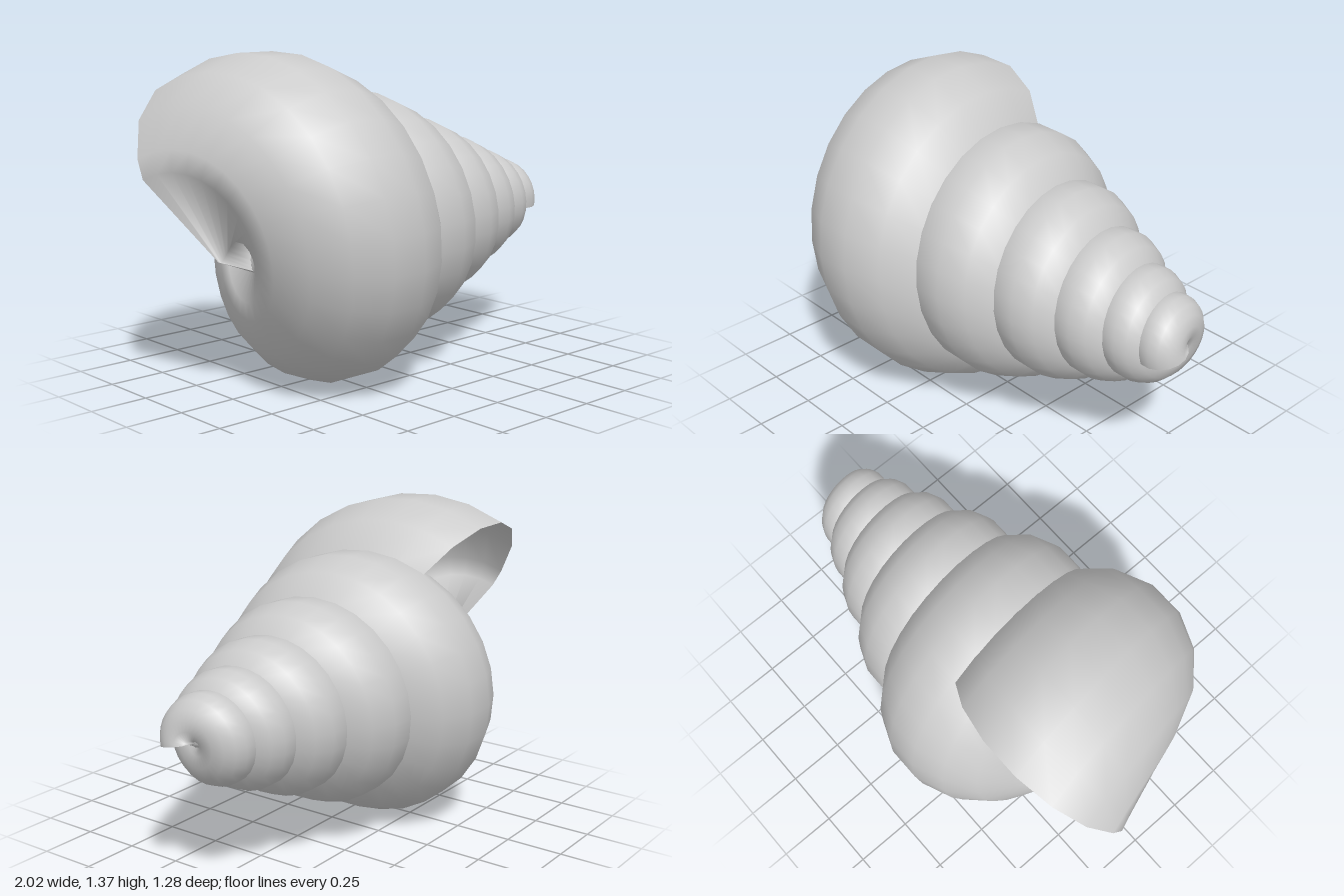
import * as THREE from 'three';

// Spiral shell: one cross-section swept along a shrinking spiral around the x axis
export function createModel() {
  const group = new THREE.Group();
  group.name = 'spiralShell';

  const axisY = 0.642, axisZ = -0.045;   // coiling axis
  const shrink = 0.757;                  // size ratio per turn
  const start = -32, sweep = 1935;       // degrees, from mouth to tip
  const steps = 150;

  // Cross-section: 16-sided circle with a straight chord across the base
  const angles = [180];
  for (let a = 236.25; a < 540; a += 22.5) angles.push(a);
  const profile = angles.map((a) => {
    const t = THREE.MathUtils.degToRad(a);
    return [0.45 * Math.cos(t), 0.294 + 0.45 * Math.sin(t)];
  });

  // Whorl rings from the mouth to the tip
  const n = profile.length, positions = [], index = [];
  for (let i = 0; i <= steps; i++) {
    const deg = start + (sweep * i) / steps;
    const s = Math.pow(shrink, deg / 360);
    const t = THREE.MathUtils.degToRad(deg);
    for (const [px, pr] of profile) {
      positions.push(
        1.325 - 1.83 * s + px * s,
        axisY + pr * s * Math.cos(t),
        axisZ + pr * s * Math.sin(t)
      );
    }
  }
  for (let i = 0; i < steps; i++) {
    for (let j = 0; j < n; j++) {
      const a = i * n + j, b = i * n + ((j + 1) % n);
      index.push(a, b, a + n, b, b + n, a + n);
    }
  }

  const geometry = new THREE.BufferGeometry();
  geometry.setAttribute('position', new THREE.Float32BufferAttribute(positions, 3));
  geometry.setIndex(index);
  geometry.computeVertexNormals();

  // Open at the mouth, so the inside shows too
  const shell = new THREE.Mesh(
    geometry,
    new THREE.MeshStandardMaterial({ color: 0xcccccc, side: THREE.DoubleSide })
  );
  shell.name = 'shellWhorls';
  group.add(shell);
  return group;
}
